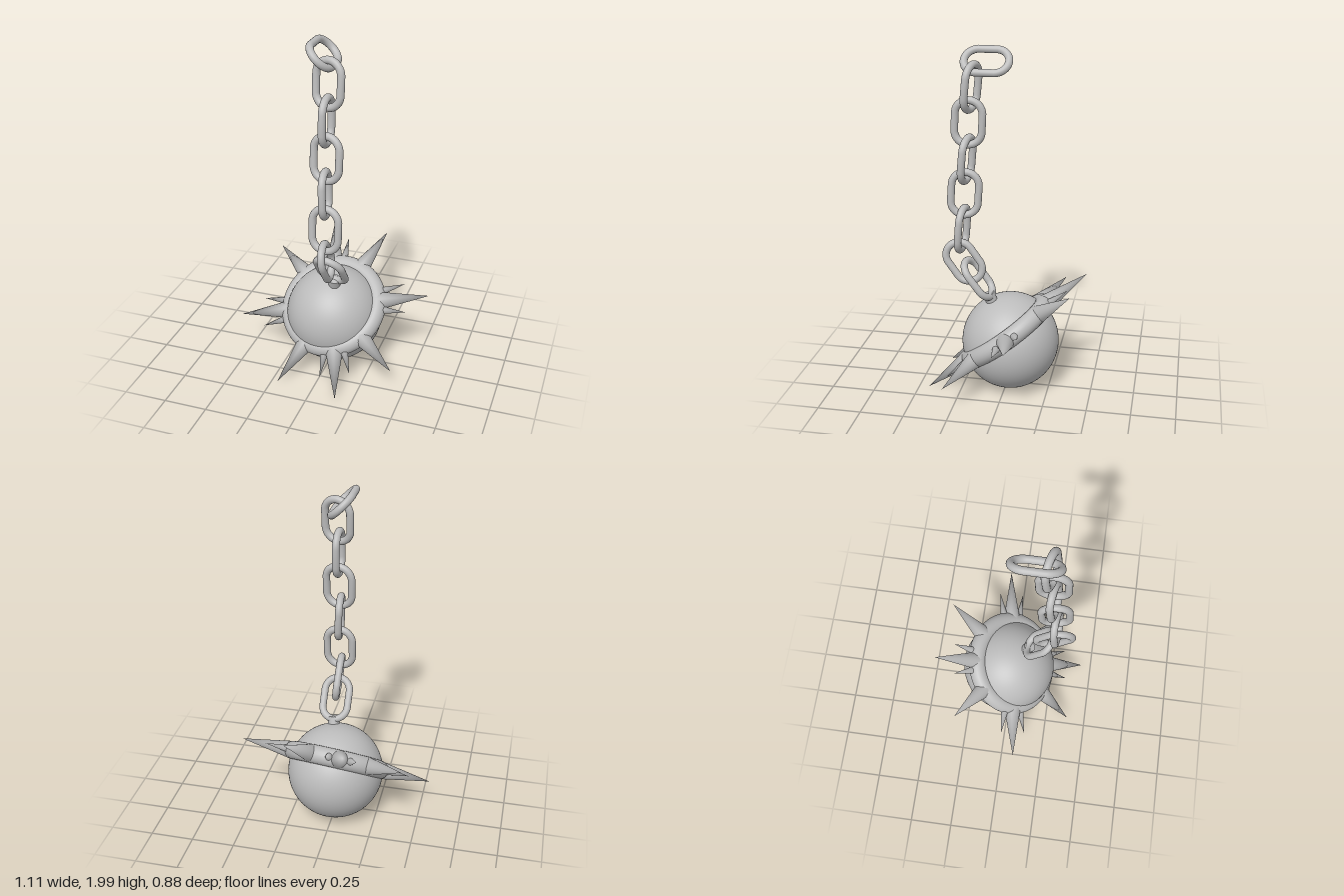
import * as THREE from 'three';
import { mergeVertices } from 'three/addons/utils/BufferGeometryUtils.js';

const V = (x, y, z) => new THREE.Vector3(x, y, z);

// Rotate an object so its local x and y follow the given directions
function orient(obj, xDir, yDir) {
  const y = yDir.clone().normalize();
  const z = xDir.clone().cross(y).normalize();
  const x = y.clone().cross(z);
  obj.quaternion.setFromRotationMatrix(new THREE.Matrix4().makeBasis(x, y, z));
}

// Chain link: a torus whose two halves are pulled apart along y
function linkGeometry() {
  const segs = 36;
  const wire = 0.021;
  const geo = new THREE.TorusGeometry(0.077, wire, 16, segs);
  geo.rotateZ(Math.PI / segs);
  const p = geo.attributes.position;
  const n = geo.attributes.normal;
  for (let i = 0; i < p.count; i++) {
    // which half a ring belongs to is read from its tube centre
    const cy = p.getY(i) - n.getY(i) * wire;
    p.setY(i, p.getY(i) + Math.sign(cy) * 0.047);
  }
  return geo;
}

// Spike: a cone with shared normals, so its tip and base rim shade softly
function spikeGeometry(tip, radius) {
  const base = 0.262;
  const cone = new THREE.ConeGeometry(radius, tip - base, 24);
  cone.translate(0, (tip + base) / 2, 0);
  cone.deleteAttribute('normal');
  cone.deleteAttribute('uv');
  const geo = mergeVertices(cone);
  geo.computeVertexNormals();
  return geo;
}

export function createModel() {
  const model = new THREE.Group();
  const iron = new THREE.MeshStandardMaterial({ color: 0xbcbcbc });
  iron.name = 'iron grey';

  const add = (parent, name, geo) => {
    const mesh = new THREE.Mesh(geo, iron);
    mesh.name = name;
    parent.add(mesh);
    return mesh;
  };

  // Ball
  add(model, 'ball', new THREE.SphereGeometry(0.282, 64, 40)).position.set(0, 0.29, -0.02);

  // Tilted spiked collar; local z is the collar's axis
  const collar = new THREE.Group();
  collar.name = 'spikedCollar';
  collar.position.set(0, 0.346, 0);
  const axis = V(-0.088, 0.782, 0.62).normalize();
  const side = V(0.966, 0.219, -0.139);
  orient(collar, side, axis.clone().cross(side));
  model.add(collar);
  add(collar, 'collarBand', new THREE.TorusGeometry(0.264, 0.054, 24, 72));

  // Spikes around the collar, angles in degrees
  const largeSpike = spikeGeometry(0.573, 0.055);
  const mediumSpike = spikeGeometry(0.552, 0.055);
  const smallSpike = spikeGeometry(0.442, 0.029);
  const spike = (name, geo, deg) => {
    add(collar, name, geo).rotation.z = -THREE.MathUtils.degToRad(deg) - Math.PI / 2;
  };
  for (const deg of [0, 88.5, 180, 270.5]) {
    spike('largeSpike', largeSpike, deg);
    for (const off of [-11.5, 11.5]) spike('smallSpike', smallSpike, deg + off);
  }
  for (const deg of [52, 127, 232, 307]) spike('mediumSpike', mediumSpike, deg);

  // Stud joining the ball to the chain
  const stud = add(model, 'chainStud', new THREE.CylinderGeometry(0.034, 0.034, 0.08, 24));
  stud.position.set(0.035, 0.553, 0.088);
  orient(stud, V(1, 0, 0), V(0.035, 0.28, 0.105));

  // Chain links from top to bottom: centre, width direction, length direction
  const links = [
    [V(-0.013, 1.922, 0.116), V(0.707, -0.707, 0), V(0, 0, 1)],
    [V(0.036, 1.787, 0.19), V(1, 0, 0.28), V(0, 1, -0.1)],
    [V(0.033, 1.592, 0.209), V(0, 0, 1), V(0, 1, -0.05)],
    [V(0.034, 1.384, 0.22), V(1, 0, 0.18), V(0, 1, -0.09)],
    [V(0.032, 1.185, 0.235), V(0.1, 0, 1), V(-0.04, 1, -0.06)],
    [V(0.036, 0.976, 0.25), V(1, 0, 0.1), V(0, 1, -0.08)],
    [V(0.04, 0.778, 0.243), V(0.1, 0, 1), V(-0.02, 0.81, 0.58)],
    [V(0.038, 0.678, 0.161), V(1, 0, 0.2), V(0, 0.8, 0.6)],
  ];
  const chain = new THREE.Group();
  chain.name = 'chain';
  model.add(chain);
  const geo = linkGeometry();
  for (const [centre, width, length] of links) {
    const link = add(chain, 'chainLink', geo);
    link.position.copy(centre);
    orient(link, width, length);
  }

  return model;
}
